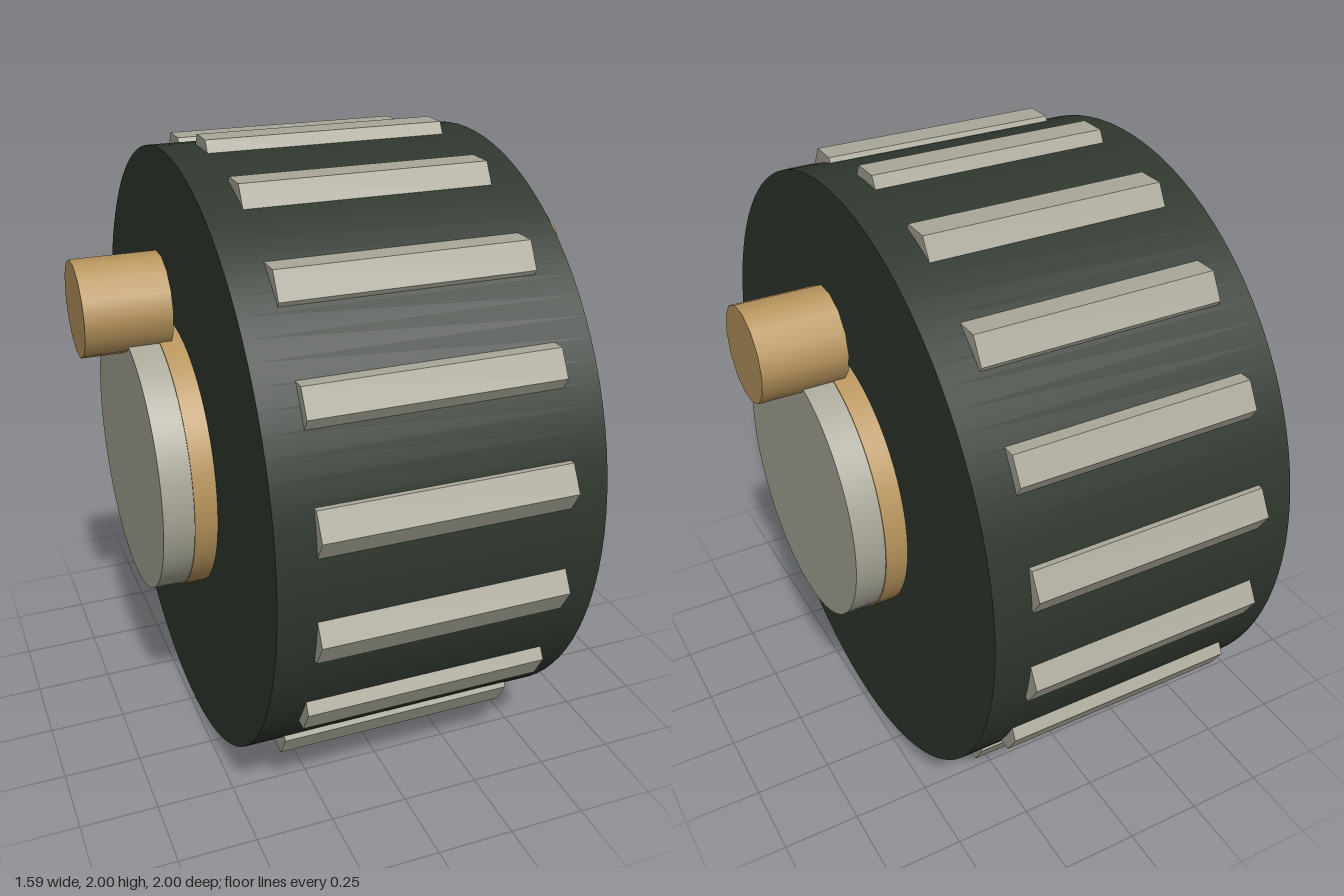
import * as THREE from 'three';

export function createModel() {
  const group = new THREE.Group();
  const material = (name, color) => {
    const m = new THREE.MeshStandardMaterial({ color });
    m.name = name;
    return m;
  };
  const darkGreen = material('dark green', 0x2f372e);
  const grey = material('warm grey', 0xa9a798);
  const tan = material('tan', 0xb8955d);

  // Cylinder lying along x, from x0 to x1
  function drum(name, mat, radius, x0, x1, sides, y = 1, z = 0) {
    const geometry = new THREE.CylinderGeometry(radius, radius, x1 - x0, sides);
    geometry.rotateZ(-Math.PI / 2);
    const mesh = new THREE.Mesh(geometry, mat);
    mesh.name = name;
    mesh.position.set((x0 + x1) / 2, y, z);
    group.add(mesh);
    return mesh;
  }

  // Wheel body
  drum('wheel', darkGreen, 0.967, -0.495, 0.495, 96);

  // Hub ring, hub cap and crank pin on both sides
  for (const [side, s] of [['left', 1], ['right', -1]]) {
    const span = (a, b) => (s > 0 ? [a, b] : [-b, -a]);
    drum(side + 'HubRing', tan, 0.432, ...span(0.45, 0.565), 64);
    drum(side + 'HubCap', grey, 0.428, ...span(0.55, 0.66), 64);
    drum(side + 'Pin', tan, 0.15, ...span(0.527, 0.793), 14, 1.516);
  }

  // Treads: hexagonal bars, all with a flat side up, half sunk in the rim
  const count = 18, r = 0.088, ring = 1 - r * Math.cos(Math.PI / 6);
  const bar = new THREE.CylinderGeometry(r, r, 0.76, 6).toNonIndexed();
  bar.computeVertexNormals();
  bar.rotateZ(-Math.PI / 2);
  for (let i = 0; i < count; i++) {
    const a = (i / count) * Math.PI * 2;
    const tread = new THREE.Mesh(bar, grey);
    tread.name = 'tread' + (i + 1);
    tread.position.set(0, 1 + ring * Math.cos(a), ring * Math.sin(a));
    group.add(tread);
  }
  return group;
}
